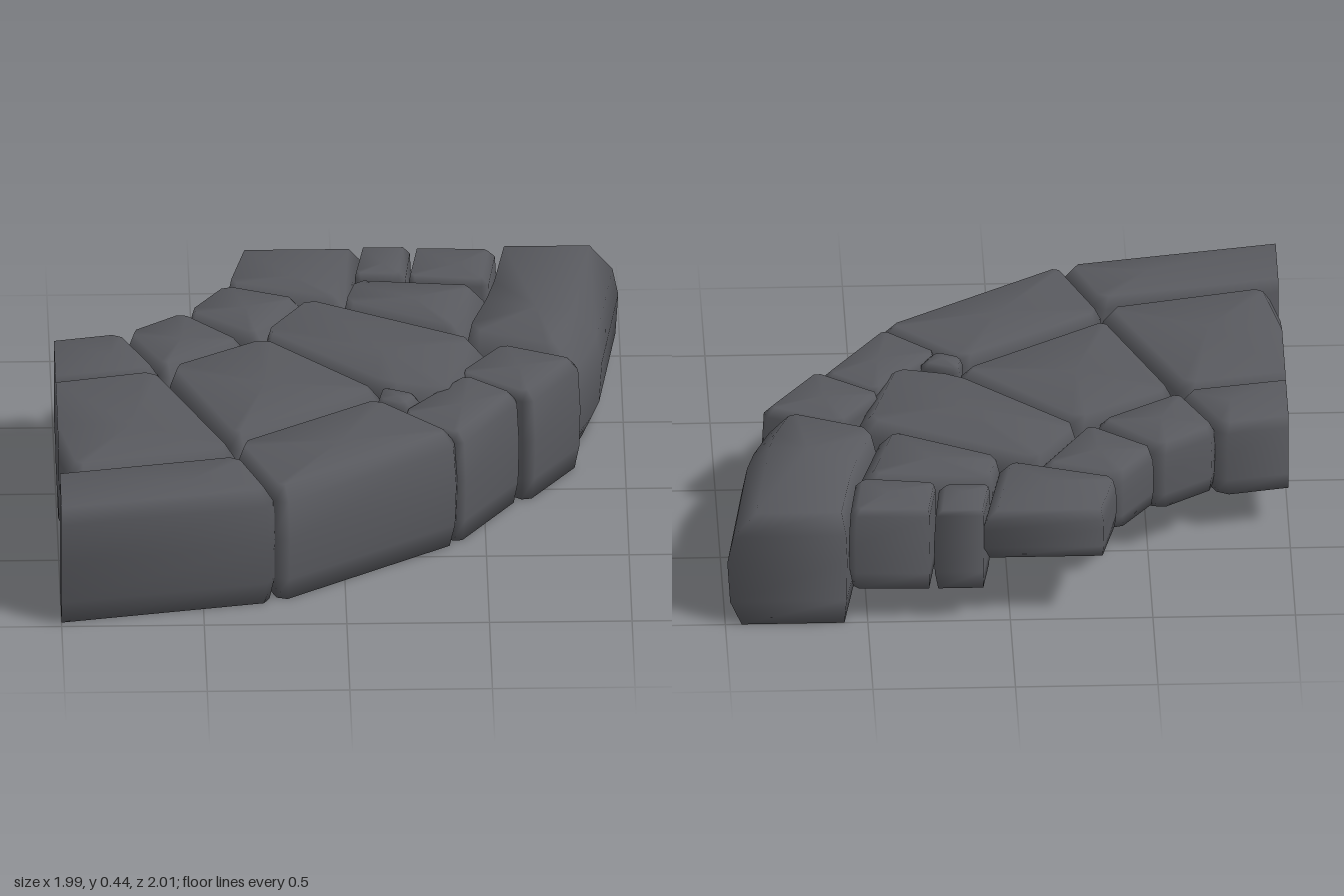
import * as THREE from 'three';

const onCut = (p, axis) => p[axis] === -1;

// Trim each corner of an outline, leaving the corners on the straight cut ends sharp
function trimCorners(corners, trim) {
  const n = corners.length;
  return corners.flatMap((p, i) => {
    if (onCut(p, 0) || onCut(p, 1)) return [p];
    const ends = [corners[(i + n - 1) % n], corners[(i + 1) % n]];
    const lengths = ends.map((q) => Math.hypot(q[0] - p[0], q[1] - p[1]));
    const c = Math.min(trim, 0.2 * Math.min(...lengths));
    return ends.map((q, k) => p.map((v, axis) => v + ((q[axis] - v) * c) / lengths[k]));
  });
}

// Move every edge inward by d, most on edges facing away from the bend's centre
// and not at all on the straight cut ends at x = -1 and z = -1
function insetOutline(pts, d) {
  const n = pts.length;
  const edges = pts.map((p, i) => {
    const q = pts[(i + 1) % n];
    const dx = q[0] - p[0], dz = q[1] - p[1], l = Math.hypot(dx, dz);
    const nx = dz / l, nz = -dx / l;
    const ox = (p[0] + q[0]) / 2 + 1, oz = (p[1] + q[1]) / 2 + 1;
    const outward = (nx * ox + nz * oz) / Math.hypot(ox, oz);
    const cut = [0, 1].some((axis) => onCut(p, axis) && onCut(q, axis));
    const shift = cut ? 0 : d * (0.6 + 0.4 * outward) - 0.008;
    return [nx, nz, nx * p[0] + nz * p[1] - shift];
  });
  return edges.map((b, i) => {
    const a = edges[(i + n - 1) % n];
    const det = a[0] * b[1] - a[1] * b[0];
    return [(a[2] * b[1] - a[1] * b[2]) / det, (a[0] * b[2] - a[2] * b[0]) / det];
  });
}

// Stack inset outlines into a softly bevelled block with a slightly crowned top
function stoneGeometry(corners, base, top, bevel) {
  const pts = trimCorners(corners, bevel * 0.7);
  const n = pts.length, h = top - base;
  const rings = [
    [base, bevel * 0.5],
    [base + h * 0.2, bevel * 0.1],
    [base + h * 0.55, 0],
    [top - bevel, bevel * 0.2],
    [top - 0.006, bevel],
  ];
  const pos = [], index = [];
  for (const [y, d] of rings) for (const [x, z] of insetOutline(pts, d)) pos.push(x, y, z);
  const cx = pts.reduce((s, p) => s + p[0], 0) / n;
  const cz = pts.reduce((s, p) => s + p[1], 0) / n;
  const bottom = rings.length * n, crown = bottom + 1, last = bottom - n;
  pos.push(cx, base, cz, cx, top, cz);
  for (let i = 0; i < n; i++) {
    const j = (i + 1) % n;
    for (let r = 0; r < last; r += n) {
      index.push(r + j, r + i, r + n + i, r + j, r + n + i, r + n + j);
    }
    index.push(bottom, i, j, crown, last + j, last + i);
  }
  const geo = new THREE.BufferGeometry();
  geo.setAttribute('position', new THREE.Float32BufferAttribute(pos, 3));
  geo.setIndex(index);
  geo.computeVertexNormals();
  return geo;
}

export function createModel() {
  const group = new THREE.Group();
  group.name = 'curvedStonePaving';
  const stone = new THREE.MeshStandardMaterial({ color: 0x58595e });
  stone.name = 'darkGreyStone';

  // Outlines are [x, z] corners, clockwise from above; rise lifts each next underside
  function addStones(name, { base, rise = 0, top, bevel }, outlines) {
    outlines.forEach((corners, i) => {
      const mesh = new THREE.Mesh(stoneGeometry(corners, base + rise * i, top, bevel), stone);
      mesh.name = `${name}${i + 1}`;
      group.add(mesh);
    });
  }

  // Long rounded stone at the back end of the outer ring
  addStones('endStone', { base: 0, top: 0.445, bevel: 0.1 }, [
    [[0.58, -1], [0.985, -1], [0.91, -0.43], [0.81, -0.17], [0.43, -0.34], [0.53, -0.67]],
  ]);
  // Large outer stones standing on the ground
  addStones('kerbStone', { base: 0, top: 0.445, bevel: 0.055 }, [
    [[0.14, 0.13], [0.42, 0.41], [-0.23, 0.85], [-0.38, 0.47]],
    [[-1, 0.68], [-0.35, 0.56], [-0.24, 0.85], [-1, 0.99]],
  ]);
  // Narrow outer stones between them
  addStones('edgeStone', { base: 0, top: 0.43, bevel: 0.04 }, [
    [[0.58, -0.3], [0.85, -0.18], [0.66, 0.1], [0.42, -0.08]],
    [[0.45, -0.07], [0.63, 0.08], [0.41, 0.41], [0.21, 0.22]],
  ]);
  // Broad stones of the middle ring
  addStones('middleStone', { base: 0.12, top: 0.445, bevel: 0.06 }, [
    [[-1, -0.01], [-0.63, -0.09], [-0.36, 0.53], [-0.96, 0.67], [-1, 0.47]],
    [[-0.24, -0.34], [0.17, 0.08], [-0.38, 0.45], [-0.61, -0.11]],
    [[-0.09, -0.64], [0.52, -0.31], [0.4, 0.11], [0.16, 0.05], [-0.27, -0.36]],
    [[0.07, -0.78], [0.53, -0.73], [0.43, -0.36], [0.02, -0.58]],
  ]);
  // Small stones filling the gaps
  addStones('fillerStone', { base: 0.13, top: 0.445, bevel: 0.03 }, [
    [[0.15, 0.05], [0.28, 0.11], [0.23, 0.2], [0.13, 0.15]],
    [[0.1, -1], [0.26, -1], [0.24, -0.79], [0.07, -0.8]],
    [[0.29, -1], [0.56, -0.99], [0.53, -0.74], [0.26, -0.78]],
  ]);
  // Inner ring with undersides rising toward the back
  addStones('innerStone', { base: 0.15, rise: 0.033, top: 0.44, bevel: 0.05 }, [
    [[-1, -0.33], [-0.75, -0.38], [-0.62, -0.09], [-1, -0.02]],
    [[-0.53, -0.54], [-0.31, -0.31], [-0.62, -0.1], [-0.75, -0.38]],
    [[-0.38, -0.75], [-0.1, -0.64], [-0.28, -0.33], [-0.53, -0.53]],
    [[-0.32, -1], [0.09, -1], [0.02, -0.6], [-0.38, -0.74]],
  ]);
  return group;
}
